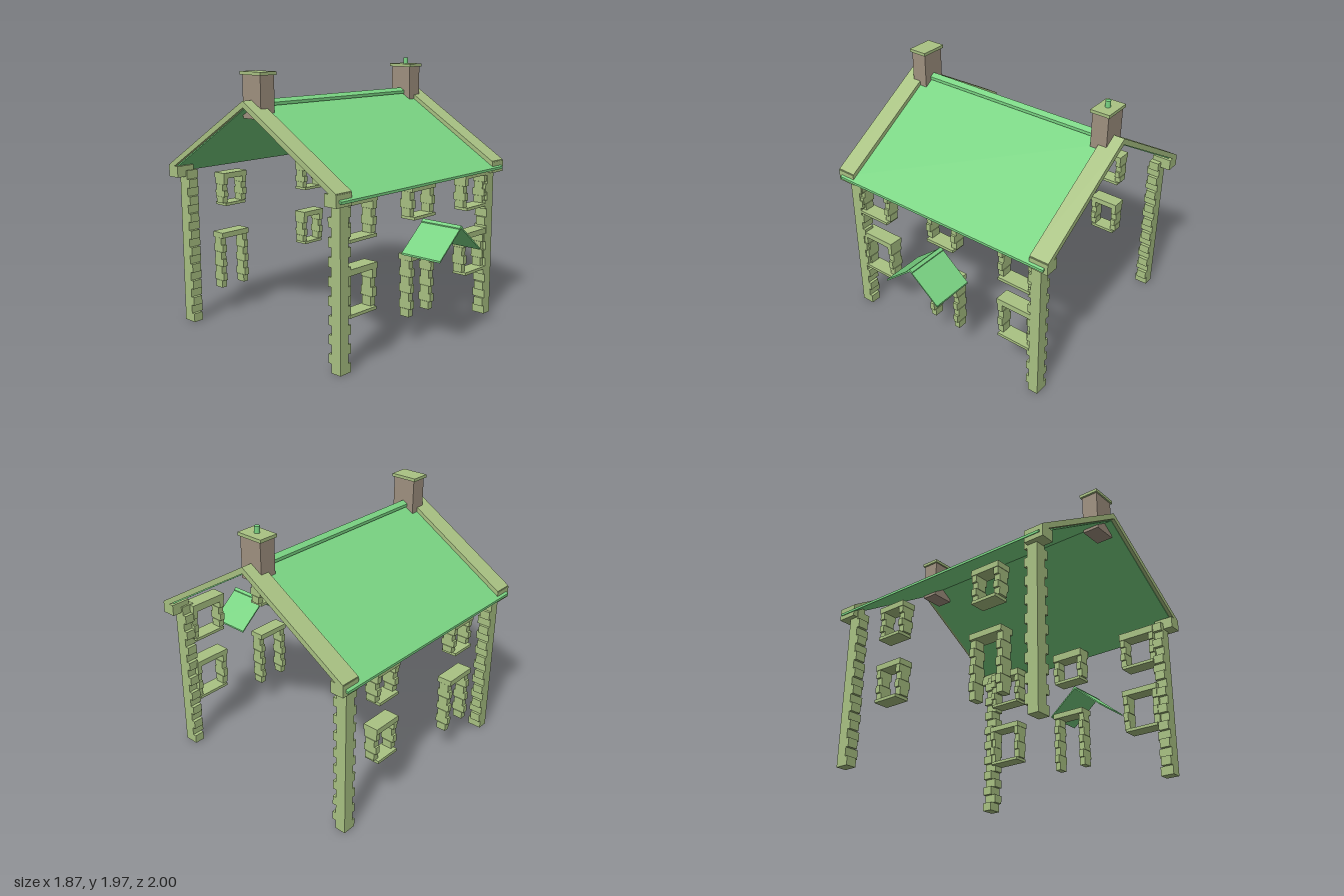
import * as THREE from 'three';

const green = new THREE.MeshStandardMaterial({ name: 'roofGreen', color: 0x7ad483 });
const stone = new THREE.MeshStandardMaterial({ name: 'stone', color: 0xa9c283 });
const brick = new THREE.MeshStandardMaterial({ name: 'chimneyBrown', color: 0xa09180 });

const RIDGE_Z = -0.13;

// Box given by its minimum and maximum along each axis
function box(parent, name, mat, [x0, x1], [y0, y1], [z0, z1]) {
  const mesh = new THREE.Mesh(new THREE.BoxGeometry(x1 - x0, y1 - y0, z1 - z0), mat);
  mesh.position.set((x0 + x1) / 2, (y0 + y1) / 2, (z0 + z1) / 2);
  mesh.name = name;
  parent.add(mesh);
  return mesh;
}

// Inverted V slab, extruded along z and centred on it
function chevron(parent, name, mat, apex, eave, run, thick, length) {
  const s = new THREE.Shape([[-run, eave], [-run, eave - thick], [0, apex - thick],
    [run, eave - thick], [run, eave], [0, apex]].map(([x, y]) => new THREE.Vector2(x, y)));
  const geo = new THREE.ExtrudeGeometry(s, { depth: length, bevelEnabled: false });
  geo.translate(0, 0, -length / 2);
  const mesh = new THREE.Mesh(geo, mat);
  mesh.name = name;
  parent.add(mesh);
  return mesh;
}

// Corner post of alternating long and short stones
function quoin(sx, sz) {
  const g = new THREE.Group();
  g.name = 'cornerStones';
  const n = 18, h = 1.17 / n;
  const outX = 0.862 * sx, outZ = sz > 0 ? 0.686 : -0.944;
  for (let i = 0; i < n; i++) {
    const alongX = (i + (sx * sz > 0 ? 1 : 0)) % 2 === 0;
    const inX = outX - sx * (alongX ? 0.1 : 0.078);
    const inZ = outZ - sz * (alongX ? 0.08 : 0.107);
    box(g, 'cornerStone', stone, [Math.min(outX, inX), Math.max(outX, inX)],
      [i * h, (i + 1) * h], [Math.min(outZ, inZ), Math.max(outZ, inZ)]);
  }
  return g;
}

// Stone surround: lintel, stacked jambs and an optional sill
function surround({ name, x, y0, y1, half, front, blocks, sill = true, lintel = 0.042 }) {
  const g = new THREE.Group();
  g.name = name;
  const zc = front ? 0.626 : -0.883, out = front ? 1 : -1;
  const span = (c, w) => [c - w / 2, c + w / 2];
  box(g, 'lintel', stone, span(x, half * 2), [y1 - lintel, y1], span(zc, 0.115));
  let base = y0;
  if (sill) {
    base += 0.022;
    box(g, 'sill', stone, span(x, half * 2 - 0.03), [y0, base], span(zc + 0.007 * out, 0.117));
  }
  const h = (y1 - lintel - base) / blocks;
  for (const side of [-1, 1]) {
    for (let i = 0; i < blocks; i++) {
      const wide = i % 2 === 0;
      box(g, 'jambStone', stone, span(x + side * (half - 0.022), wide ? 0.046 : 0.038),
        [base + i * h, base + (i + 1) * h], span(zc, wide ? 0.075 : 0.105));
    }
  }
  return g;
}

export function createModel() {
  const model = new THREE.Group();
  model.name = 'cottage';

  // Corner stones
  for (const sx of [-1, 1]) for (const sz of [-1, 1]) model.add(quoin(sx, sz));

  // Front openings
  for (const s of [-1, 1]) {
    model.add(surround({ name: 'frontUpperWindow', x: 0.647 * s, y0: 0.87, y1: 1.165, half: 0.147, front: true, blocks: 4, lintel: 0.055 }));
    model.add(surround({ name: 'frontLowerWindow', x: 0.647 * s, y0: 0.37, y1: 0.693, half: 0.147, front: true, blocks: 4 }));
  }
  model.add(surround({ name: 'frontMiddleWindow', x: 0, y0: 0.907, y1: 1.165, half: 0.134, front: true, blocks: 3, lintel: 0.06 }));
  model.add(surround({ name: 'frontDoor', x: 0, y0: 0.205, y1: 0.658, half: 0.136, front: true, blocks: 7, sill: false }));

  // Back openings
  for (const s of [-1, 1]) {
    model.add(surround({ name: 'backUpperWindow', x: 0.431 * s, y0: 0.855, y1: 1.112, half: 0.114, front: false, blocks: 4 }));
  }
  model.add(surround({ name: 'backLowerWindow', x: 0.425, y0: 0.385, y1: 0.667, half: 0.115, front: false, blocks: 4 }));
  model.add(surround({ name: 'backDoor', x: -0.444, y0: 0.205, y1: 0.647, half: 0.131, front: false, blocks: 7, sill: false }));

  // Main roof, turned so that its ridge runs along x
  const roof = new THREE.Group();
  roof.name = 'roof';
  roof.rotation.y = -Math.PI / 2;
  roof.position.z = RIDGE_Z;
  chevron(roof, 'roofSlab', green, 1.7, 1.165, 0.867, 0.018, 1.82);
  chevron(roof, 'ridgeTiles', green, 1.733, 1.71, 0.036, 0.022, 1.58);
  for (const s of [-1, 1]) {
    chevron(roof, 'gableCoping', stone, 1.733, 1.215, 0.847, 0.045, 0.145).position.z = s * 0.8625;
  }
  model.add(roof);

  for (const s of [-1, 1]) {
    // Stones at the foot of the gable copings
    const xs = [s * 0.8625 - 0.0725, s * 0.8625 + 0.0725];
    box(model, 'copingFoot', stone, xs, [1.125, 1.208], [0.62, 0.722]);
    box(model, 'copingFoot', stone, xs, [1.125, 1.208], [-0.98, -0.877]);

    // Chimneys
    const c = s * 0.792;
    box(model, 'chimneyStack', brick, [c - 0.062, c + 0.062], [1.605, 1.9], [-0.22, -0.04]);
    box(model, 'chimneyCap', stone, [c - 0.073, c + 0.073], [1.9, 1.923], [-0.235, -0.028]);
  }
  const pot = new THREE.Mesh(new THREE.CylinderGeometry(0.019, 0.019, 0.05, 16), green);
  pot.name = 'chimneyPot';
  pot.position.set(0.79, 1.945, RIDGE_Z);
  model.add(pot);

  // Porch canopy over the front door
  const z0 = 0.675, len = 1 - z0;
  chevron(model, 'porchRoof', green, 0.893, 0.698, 0.235, 0.013, len).position.z = z0 + len / 2;
  chevron(model, 'porchRidge', green, 0.9, 0.884, 0.02, 0.012, len).position.z = z0 + len / 2;

  return model;
}
